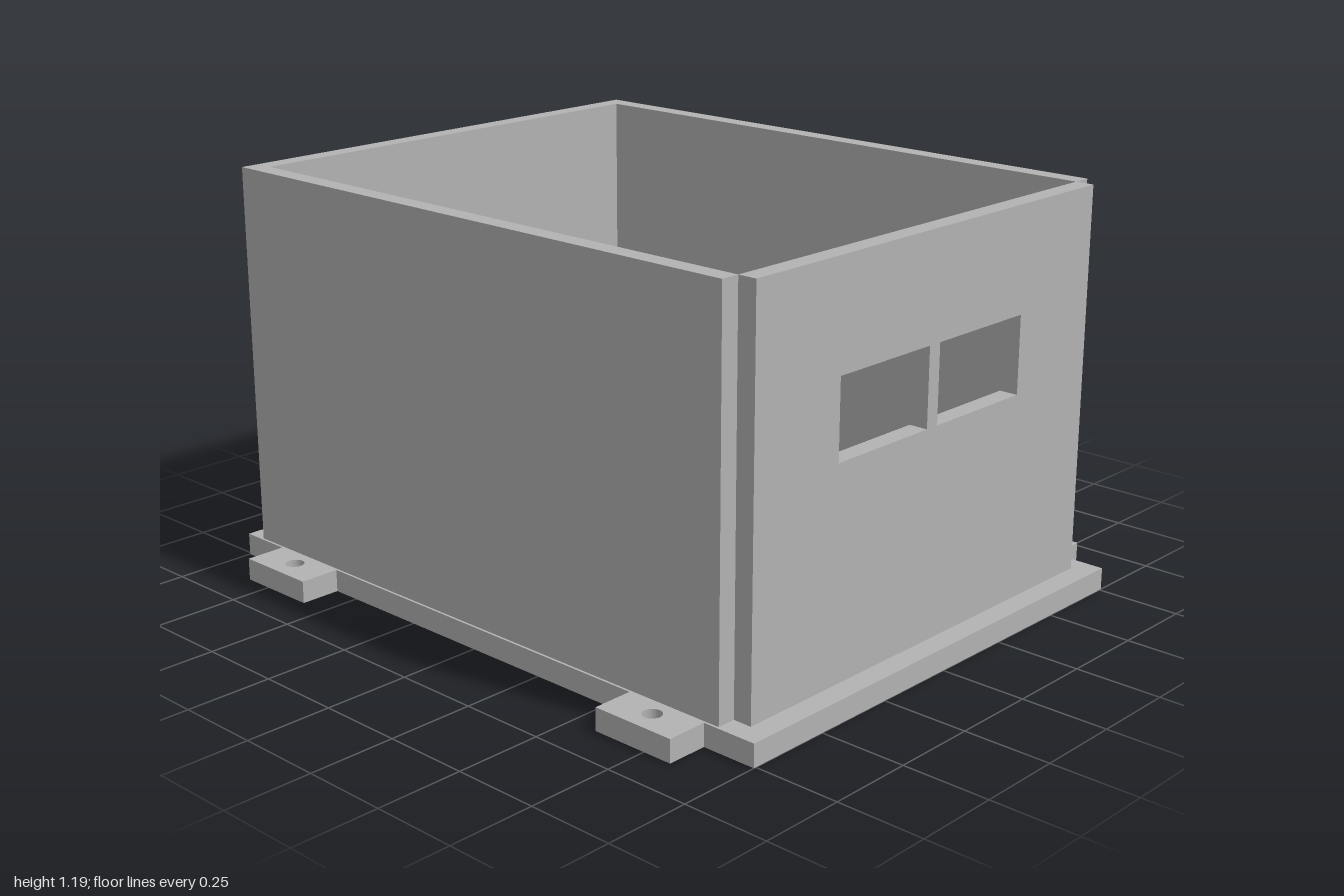
import * as THREE from 'three';

const BASE = 0.065, TOP = 1.185, T = 0.055;

export function createModel() {
  const model = new THREE.Group();
  model.name = 'openEnclosure';
  const grey = new THREE.MeshStandardMaterial({ color: 0xb2b2b2 });
  grey.name = 'plain grey';

  function add(name, geometry, x = 0, y = 0, z = 0) {
    const mesh = new THREE.Mesh(geometry, grey);
    mesh.name = name;
    mesh.position.set(x, y, z);
    model.add(mesh);
    return mesh;
  }
  const circle = (x, y, r) => new THREE.Path().absarc(x, y, r, 0, Math.PI * 2, true);

  // Base plate with four drilled mounting tabs, drawn flat and laid down
  const w = 0.757, tab = 0.877, z0 = 0.585, z1 = 0.838;
  const side = [[w, -1], [w, -z1], [tab, -z1], [tab, -z0], [w, -z0],
    [w, z0], [tab, z0], [tab, z1], [w, z1], [w, 1]];
  const outline = [...side, ...side.map(([x, z]) => [-x, -z])];
  const plate = new THREE.Shape(outline.map(([x, z]) => new THREE.Vector2(x, z)));
  for (const x of [-0.807, 0.807])
    for (const z of [-0.712, 0.712]) plate.holes.push(circle(x, z, 0.027));
  const plateGeometry = new THREE.ExtrudeGeometry(plate, { depth: BASE, bevelEnabled: false, curveSegments: 16 });
  plateGeometry.rotateX(-Math.PI / 2);
  add('basePlate', plateGeometry);

  // Three-sided wall shell, open toward the front
  const shell = new THREE.Shape([[-0.75, -0.88], [-0.695, -0.88], [-0.695, 0.882], [0.695, 0.882],
    [0.695, -0.88], [0.75, -0.88], [0.75, 0.937], [-0.75, 0.937]].map(([x, y]) => new THREE.Vector2(x, y)));
  const shellGeometry = new THREE.ExtrudeGeometry(shell, { depth: TOP - BASE, bevelEnabled: false });
  shellGeometry.rotateX(-Math.PI / 2);
  add('sideAndBackWalls', shellGeometry, 0, BASE, 0);

  // Front panel with two rectangular openings
  const panel = new THREE.Shape([[-0.695, BASE], [0.695, BASE], [0.695, TOP], [-0.695, TOP]]
    .map(([x, y]) => new THREE.Vector2(x, y)));
  for (const [a, b] of [[-0.38, -0.023], [0.02, 0.377]])
    panel.holes.push(new THREE.Path([[a, 0.66], [a, 0.883], [b, 0.883], [b, 0.66]]
      .map(([x, y]) => new THREE.Vector2(x, y))));
  add('frontPanel', new THREE.ExtrudeGeometry(panel, { depth: T, bevelEnabled: false }), 0, 0, 0.88);

  // Short locating pegs on the floor
  const pegHeight = 0.06;
  for (const [x, z] of [[-0.272, -0.38], [0.272, -0.38], [0, 0.157]])
    add('floorPeg', new THREE.CylinderGeometry(0.024, 0.024, pegHeight, 24), x, BASE + pegHeight / 2, z);

  return model;
}
